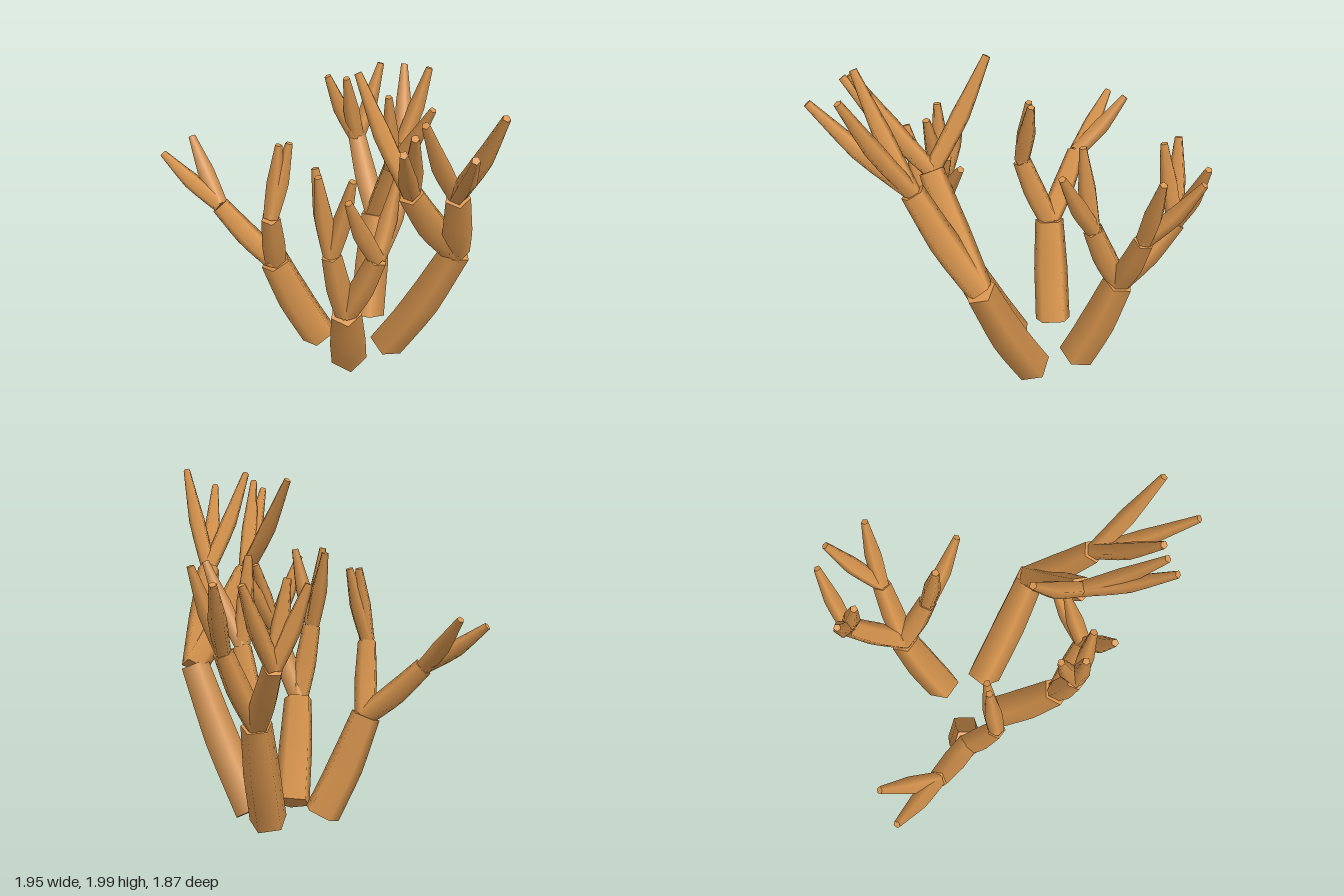
import * as THREE from 'three';
import { mergeGeometries } from 'three/addons/utils/BufferGeometryUtils.js';

const SIDES = 5, SEGMENTS = 6;

// Capped five-sided limb that bows outwards first, then rises; radii are [start, middle, end]
function limbGeometry(start, end, radii) {
  const middle = start.clone().lerp(end, 0.5);
  middle.y = THREE.MathUtils.lerp(start.y, end.y, 0.45);
  const curve = new THREE.CatmullRomCurve3([start, middle, end]);
  const tube = new THREE.TubeGeometry(curve, SEGMENTS, 1, SIDES);
  const pos = tube.attributes.position;
  const corner = (i, j) => new THREE.Vector3().fromBufferAttribute(pos, i * (SIDES + 1) + j);
  const cap = [];
  for (let i = 0; i <= SEGMENTS; i++) {
    const t = i / SEGMENTS, c = curve.getPointAt(t);
    const r = t < 0.5
      ? THREE.MathUtils.lerp(radii[0], radii[1], Math.sin(t * Math.PI))
      : THREE.MathUtils.lerp(radii[1], radii[2], t * 2 - 1);
    for (let j = 0; j <= SIDES; j++) {
      const p = corner(i, j).sub(c).multiplyScalar(r).add(c);
      pos.setXYZ(i * (SIDES + 1) + j, p.x, p.y, p.z);
    }
    if (i > 0 && i < SEGMENTS) continue;
    for (let j = 0; j < SIDES; j++) {
      const a = corner(i, j), b = corner(i, j + 1);
      for (const p of i === 0 ? [c, a, b] : [c, b, a]) cap.push(p.x, p.y, p.z);
    }
  }
  const caps = new THREE.BufferGeometry();
  caps.setAttribute('position', new THREE.Float32BufferAttribute(cap, 3));
  caps.computeVertexNormals();
  const sides = tube.toNonIndexed();
  sides.deleteAttribute('uv');
  return mergeGeometries([sides, caps]);
}

// Each stem: trunk base and top, then branches with a fork point and the tips of their twigs
const STEMS = [
  { name: 'leftStem', base: [-0.05, 0.06, -0.02], top: [-0.28, 0.62, 0.08], branches: [
    { fork: [-0.61, 0.92, 0.02], tips: [[-0.96, 1.17, -0.07], [-0.83, 1.22, -0.21]] },
    { fork: [-0.26, 1.02, 0.24], tips: [[-0.22, 1.44, 0.18], [-0.17, 1.44, 0.15]] },
  ] },
  { name: 'frontStem', base: [0.16, 0.06, 0.15], top: [0.2, 0.62, 0.47], branches: [
    { fork: [0.14, 1.05, 0.57], tips: [[0.04, 1.5, 0.48], [0.08, 1.52, 0.6], [0.25, 1.51, 0.59]] },
    { fork: [0.37, 1.04, 0.54], tips: [[0.25, 1.46, 0.71], [0.49, 1.41, 0.3], [0.44, 1.43, 0.39]] },
  ] },
  { name: 'rightStem', base: [0.36, 0.05, -0.03], top: [0.74, 0.86, 0.12], branches: [
    { fork: [0.52, 1.39, 0.45], tips: [[0.21, 1.93, 0.25], [0.53, 1.86, 0.9], [0.57, 1.91, 0.83]] },
    { fork: [0.75, 1.4, 0.45], tips: [[0.61, 1.96, 0.79], [0.85, 1.88, 0.92], [0.96, 1.98, 0.69]] },
  ] },
  { name: 'backStem', base: [0.2, 0.07, -0.25], top: [0.2, 0.66, -0.48], branches: [
    { fork: [0.31, 1.06, -0.36], tips: [[0.29, 1.54, -0.29], [0.54, 1.5, -0.26]] },
    { fork: [0.04, 1.02, -0.74], tips: [[-0.13, 1.44, -0.69], [-0.01, 1.46, -0.64], [0.15, 1.45, -0.91]] },
    { fork: [0.33, 1.07, -0.64], tips: [[0.29, 1.45, -0.92], [0.46, 1.52, -0.75]] },
  ] },
];

export function createModel() {
  const model = new THREE.Group();
  model.name = 'branchingCoral';
  const coral = new THREE.MeshStandardMaterial({ color: 0xd8954e });
  coral.name = 'coralOrange';

  const addLimb = (parent, name, from, to, radii) => {
    const start = new THREE.Vector3(...from), end = new THREE.Vector3(...to);
    const mesh = new THREE.Mesh(limbGeometry(start, end, radii), coral);
    mesh.name = name;
    parent.add(mesh);
    return mesh;
  };

  for (const { name, base, top, branches } of STEMS) {
    const stem = new THREE.Group();
    stem.name = name;
    model.add(stem);
    addLimb(stem, 'trunk', base, top, [0.108, 0.106, 0.088]);
    for (const { fork, tips } of branches) {
      // Longer branches are thicker
      const girth = 0.45 + new THREE.Vector3(...top).distanceTo(new THREE.Vector3(...fork));
      addLimb(stem, 'branch', top, fork, [0.07 * girth, 0.077 * girth, 0.062 * girth]);
      for (const tip of tips) addLimb(stem, 'twig', fork, tip, [0.045, 0.05, 0.021]);
    }
  }
  return model;
}
